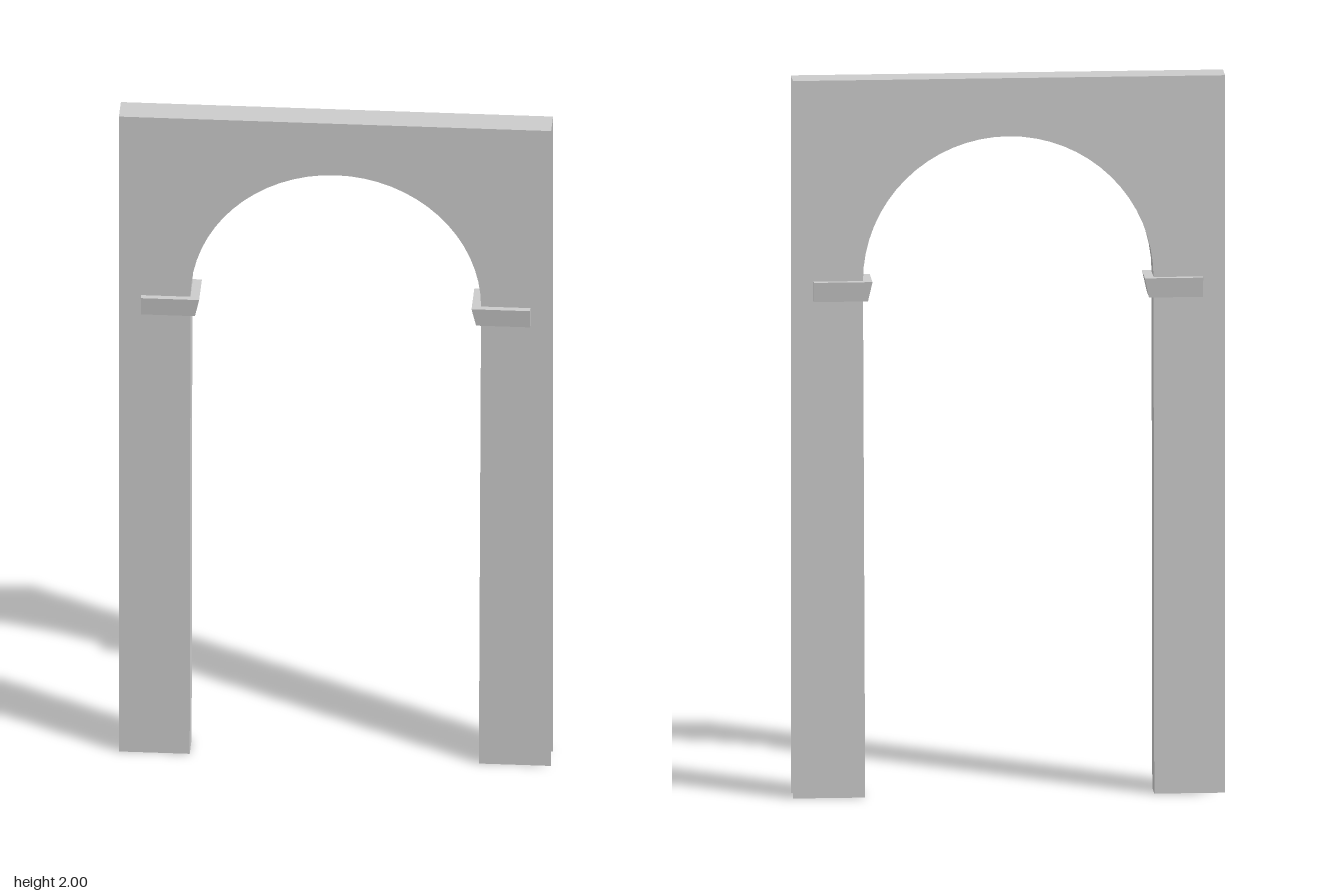
import * as THREE from 'three';

const HALF_DEPTH = 0.04, LEFT = 0.59, RIGHT = -0.594, HEIGHT = 2;
const SPRING = 1.44, RADIUS = 0.398;

// Outline of the opening: up one jamb, round the arch, down the other
function openingPath() {
  const pts = [new THREE.Vector2(-0.4, 0)];
  const steps = 32;
  for (let i = 0; i <= steps; i++) {
    const a = Math.PI * (1 - i / steps);
    pts.push(new THREE.Vector2(RADIUS * Math.cos(a), SPRING + RADIUS * Math.sin(a)));
  }
  pts.push(new THREE.Vector2(0.392, 0));
  return pts;
}

// Tapered block: narrower at the bottom on the faces and towards the opening
function impostGeometry(side) {
  const inner = 0.373, outer = 0.533;
  const geo = new THREE.BoxGeometry(outer - inner, 0.055, 0.114).toNonIndexed();
  const pos = geo.attributes.position;
  for (let i = 0; i < pos.count; i++) {
    if (pos.getY(i) > 0) continue;
    pos.setZ(i, Math.sign(pos.getZ(i)) * 0.05);
    if (pos.getX(i) * side < 0) pos.setX(i, pos.getX(i) + side * 0.012);
  }
  geo.translate(side * (inner + outer) / 2, SPRING - 0.0275, 0);
  geo.computeVertexNormals();
  return geo;
}

export function createModel() {
  const group = new THREE.Group();
  const material = new THREE.MeshStandardMaterial({ color: 0xcccccc, side: THREE.DoubleSide });
  const add = (name, geometry) => {
    const mesh = new THREE.Mesh(geometry, material);
    mesh.name = name;
    group.add(mesh);
  };
  const path = openingPath();

  // Front and back wall sheets; the outer ends and feet stay open
  const outline = new THREE.Shape([
    new THREE.Vector2(RIGHT, 0), new THREE.Vector2(RIGHT, HEIGHT),
    new THREE.Vector2(LEFT, HEIGHT), new THREE.Vector2(LEFT, 0),
    ...path.slice().reverse(),
  ]);
  const front = new THREE.ShapeGeometry(outline);
  const back = front.clone();
  back.setIndex(Array.from(front.index.array).reverse());
  back.computeVertexNormals();
  add('frontWall', front.translate(0, 0, HALF_DEPTH));
  add('backWall', back.translate(0, 0, -HALF_DEPTH));

  // Top strip
  const top = new THREE.PlaneGeometry(LEFT - RIGHT, 2 * HALF_DEPTH).rotateX(-Math.PI / 2);
  add('wallTop', top.translate((LEFT + RIGHT) / 2, HEIGHT, 0));

  // Jambs and arch soffit: a strip bent along the opening
  const reveal = new THREE.PlaneGeometry(1, 2 * HALF_DEPTH, path.length - 1, 1);
  const pos = reveal.attributes.position;
  for (let i = 0; i < pos.count; i++) {
    const p = path[i % path.length];
    pos.setXYZ(i, p.x, p.y, pos.getY(i));
  }
  reveal.computeVertexNormals();
  add('archReveal', reveal);

  // Impost blocks at the springing of the arch
  add('leftImpost', impostGeometry(1));
  add('rightImpost', impostGeometry(-1));
  return group;
}
